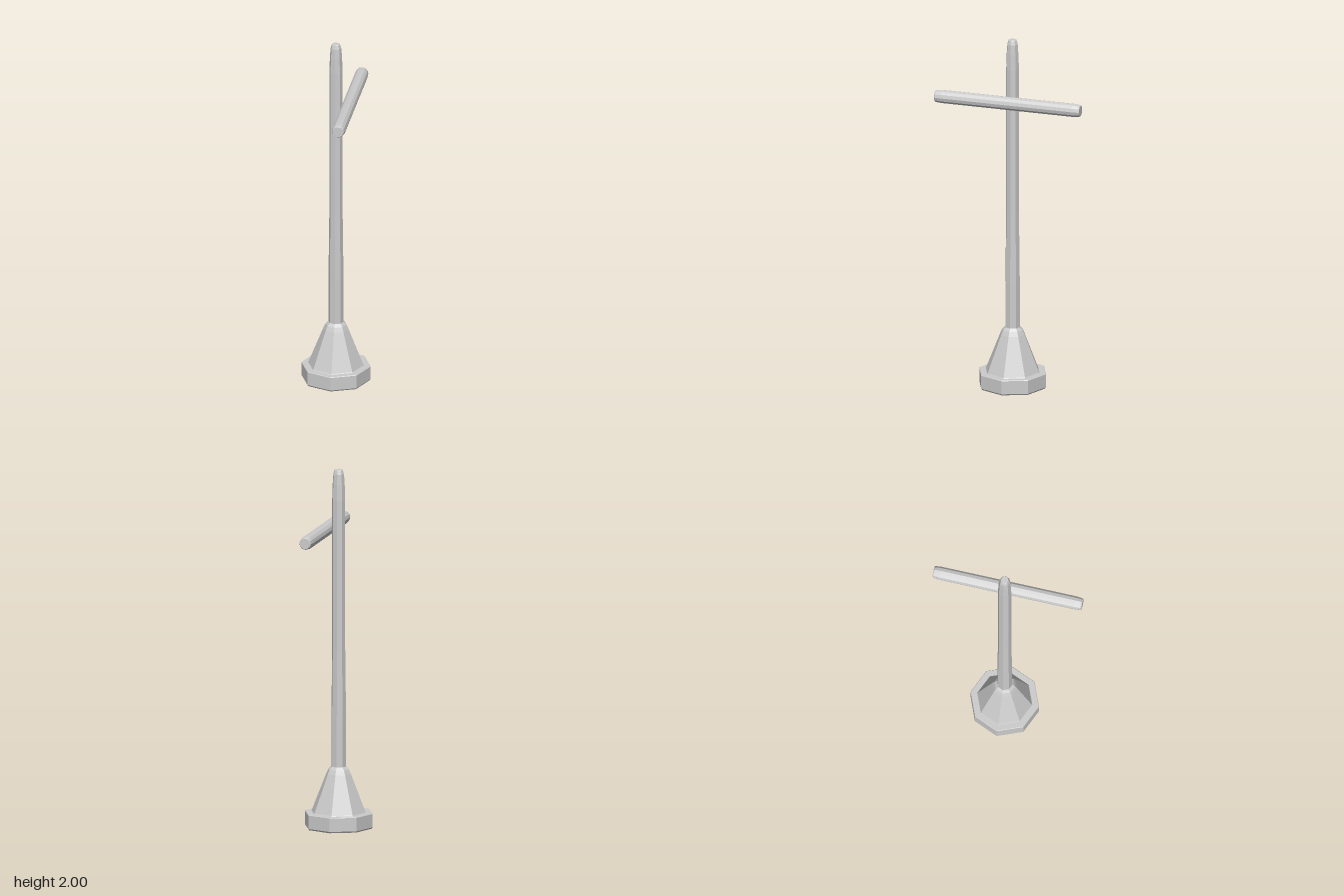
import * as THREE from 'three';

const material = new THREE.MeshStandardMaterial({ color: 0xcccccc, flatShading: true });

// Faceted turned part from [radius, height] pairs, listed bottom to top
function turned(name, profile, sides) {
  const points = profile.map(([r, y]) => new THREE.Vector2(r, y));
  const mesh = new THREE.Mesh(new THREE.LatheGeometry(points, sides), material);
  mesh.name = name;
  return mesh;
}

export function createModel() {
  const group = new THREE.Group();
  group.name = 'postWithCrossbar';

  // Octagonal foot plate
  group.add(turned('footPlate', [
    [0, 0], [0.187, 0], [0.193, 0.008], [0.193, 0.083], [0.19, 0.086], [0, 0.086],
  ], 8));

  // Flared socket rising from the plate to the post
  group.add(turned('socket', [
    [0.16, 0.08], [0.153, 0.09], [0.07, 0.3], [0.058, 0.325], [0.043, 0.341], [0, 0.341],
  ], 8));

  // Tall post with a narrowed tip
  group.add(turned('post', [
    [0.042, 0.33], [0.042, 0.6], [0.037, 1.0], [0.037, 1.83], [0.034, 1.92],
    [0.03, 1.975], [0.023, 1.997], [0.02, 2], [0, 2],
  ], 8));

  // Crossbar carried on the side of the post, running front to back
  const bar = turned('crossbar', [
    [0, -0.42], [0.03, -0.42], [0.034, -0.413], [0.037, -0.38],
    [0.037, 0.38], [0.034, 0.413], [0.03, 0.42], [0, 0.42],
  ], 12);
  bar.rotation.x = Math.PI / 2;
  bar.position.set(0.079, 1.656, 0);
  group.add(bar);

  return group;
}
